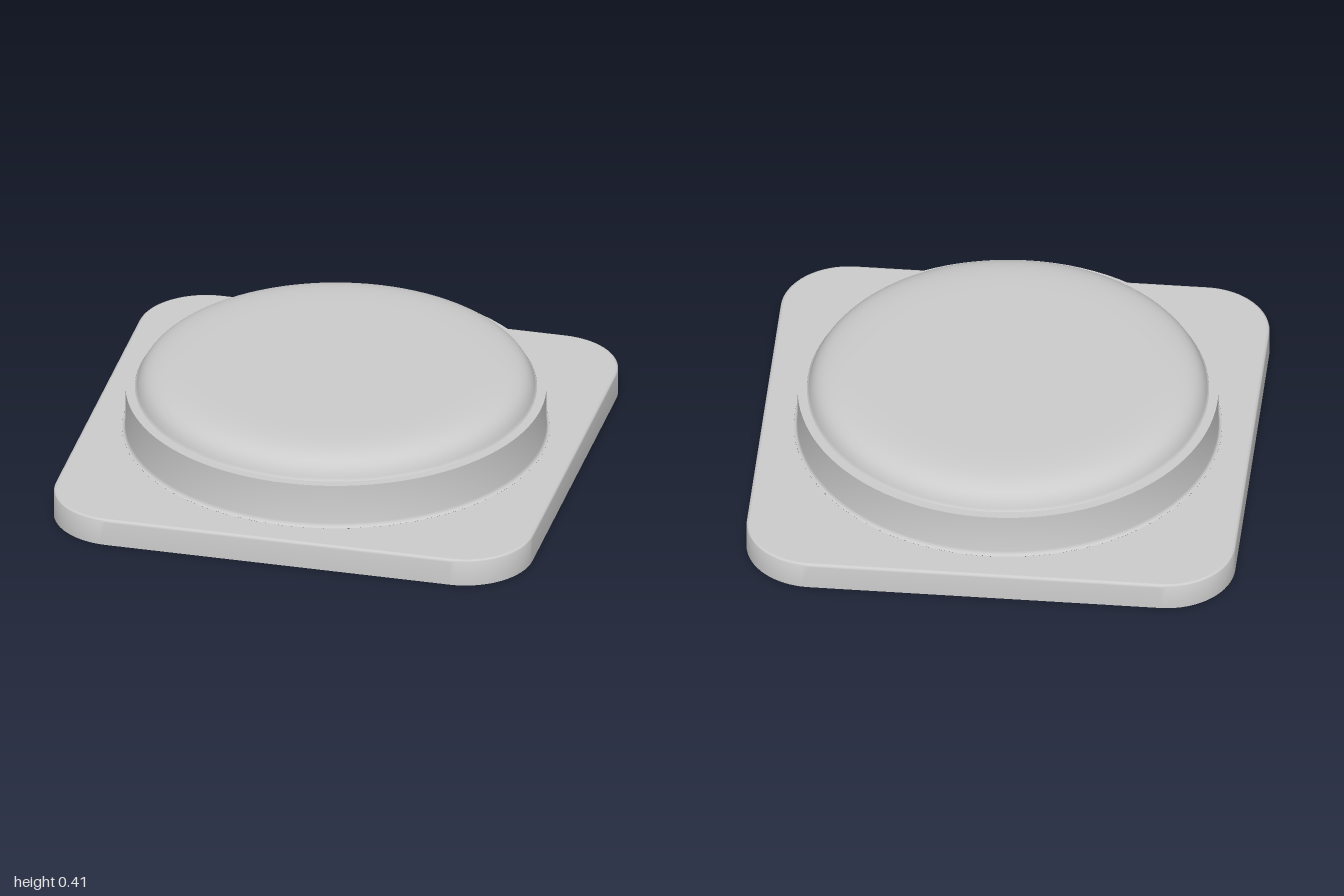
import * as THREE from 'three';
import { toCreasedNormals } from 'three/addons/utils/BufferGeometryUtils.js';

const HALF = 1, CORNER = 0.28, PLATE_TOP = 0.115, HOLE = 0.872;

// Rounded square outline, counter-clockwise, shrunk by inset
function outline(inset, steps = 16) {
  const points = [], centre = HALF - CORNER, r = CORNER - inset;
  [[1, 1], [-1, 1], [-1, -1], [1, -1]].forEach(([sx, sy], corner) => {
    for (let i = 0; i <= steps; i++) {
      const a = (corner + i / steps) * Math.PI / 2;
      points.push(new THREE.Vector2(sx * centre + r * Math.cos(a), sy * centre + r * Math.sin(a)));
    }
  });
  return points;
}

// Open skirt joining outlines given as [inset, height]
function skirtGeometry(levels) {
  const positions = [], index = [];
  const n = outline(0).length;
  levels.forEach(([inset, y], k) => {
    outline(inset).forEach((p, i) => {
      positions.push(p.x, y, -p.y);
      if (k === 0) return;
      const j = (i + 1) % n, low = (k - 1) * n, high = k * n;
      index.push(low + i, low + j, high + j, low + i, high + j, high + i);
    });
  });
  const geometry = new THREE.BufferGeometry();
  geometry.setAttribute('position', new THREE.Float32BufferAttribute(positions, 3));
  geometry.setIndex(index);
  return toCreasedNormals(geometry, 0.9);
}

function turned(profile) {
  const points = profile.map(([r, y]) => new THREE.Vector2(r, y));
  return toCreasedNormals(new THREE.LatheGeometry(points, 96), 0.7);
}

export function createModel() {
  const group = new THREE.Group();
  const material = new THREE.MeshStandardMaterial({ color: 0xcccccc, side: THREE.DoubleSide });
  const add = (name, geometry) => {
    const mesh = new THREE.Mesh(geometry, material);
    mesh.name = name;
    group.add(mesh);
  };

  // Hollow base: thin side skirt with a softened upper edge
  add('baseSkirt', skirtGeometry([
    [0, 0], [0, 0.103], [0.001, 0.108], [0.004, 0.112], [0.007, 0.114], [0.012, PLATE_TOP],
  ]));

  // Flat top sheet with the round opening
  const sheet = new THREE.Shape(outline(0.012));
  sheet.holes.push(new THREE.Path().absarc(0, 0, HOLE, 0, Math.PI * 2, true));
  add('baseTop', new THREE.ShapeGeometry(sheet, 96).rotateX(-Math.PI / 2).translate(0, PLATE_TOP, 0));

  // Collar with a small fillet at its foot and a narrow lip
  add('collar', turned([
    [HOLE, PLATE_TOP], [0.866, 0.117], [0.861, 0.122], [0.858, 0.132], [0.858, 0.304], [0.82, 0.304],
  ]));

  // Solid cushion-shaped button inside the collar
  const crown = new THREE.CubicBezierCurve(
    new THREE.Vector2(0.815, 0.304), new THREE.Vector2(0.79, 0.385),
    new THREE.Vector2(0.74, 0.405), new THREE.Vector2(0.54, 0.406),
  ).getPoints(20).map((p) => [p.x, p.y]);
  add('button', turned([[0, 0.117], [0.82, 0.117], [0.82, 0.3], ...crown, [0, 0.408]]));

  return group;
}
